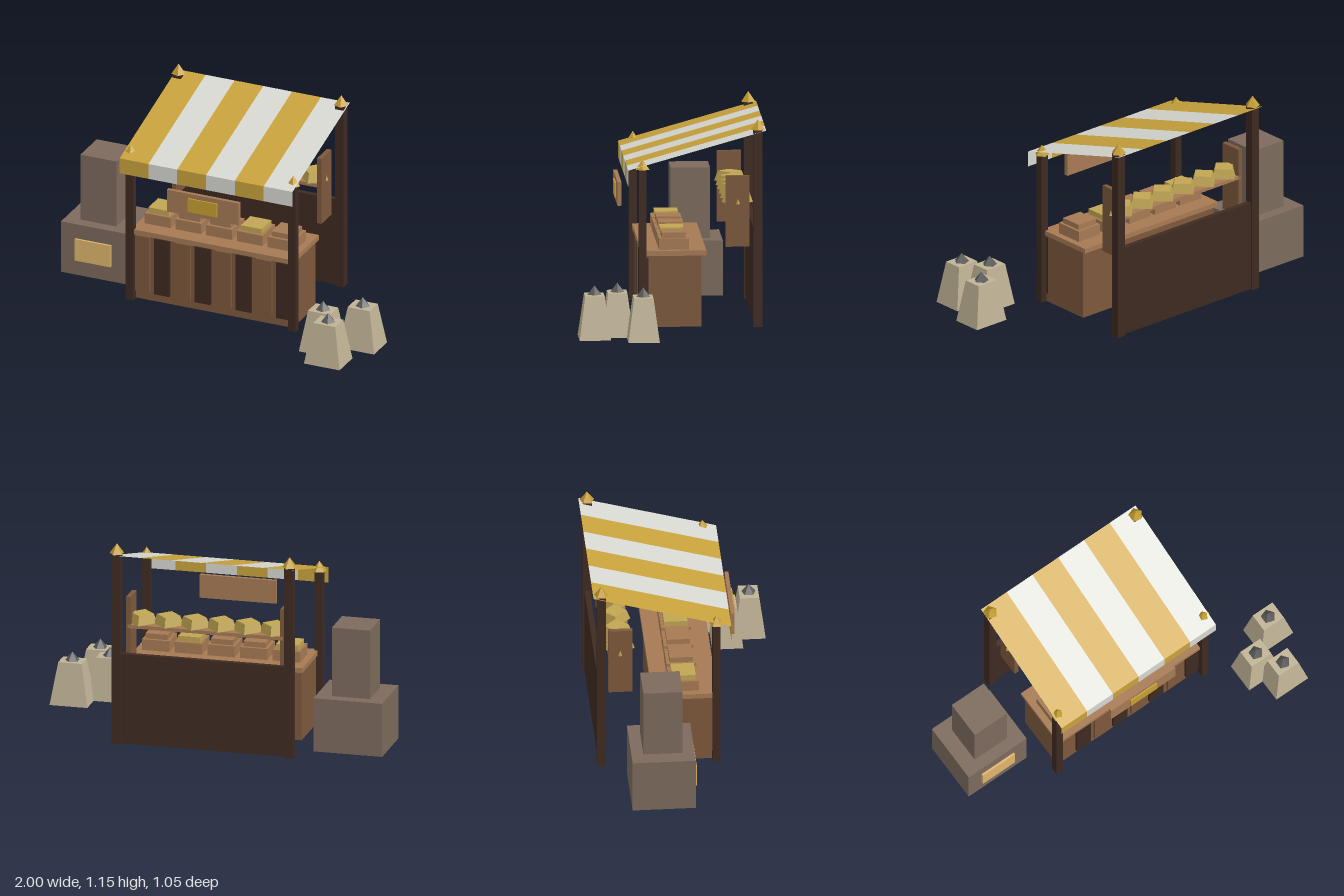
import * as THREE from 'three';

const CX = -0.022; // centre line of the stall
const mats = {};
const mat = (color) => (mats[color] ??= new THREE.MeshStandardMaterial({ color, flatShading: true, side: THREE.DoubleSide }));

const DARK = 0x3e2a21, WOOD = 0x7d583c, LIGHT = 0xa67a53, GOLD = 0xc59d30, STONE = 0x7c6a5c,
  CLOTH = 0xd8d8d2, STRIPE = 0xc8a23c, SACK = 0xbfb295, COAL = 0x5c5a5a, BREAD = 0xc0a552, GLOW = 0xdfb66c;

export function createModel() {
  const root = new THREE.Group();

  const add = (name, geometry, color, x = 0, y = 0, z = 0) => {
    const mesh = new THREE.Mesh(geometry, mat(color));
    mesh.name = name;
    mesh.position.set(x, y, z);
    root.add(mesh);
    return mesh;
  };
  // box from centre x, width and its y and z ranges
  const box = (name, color, x, w, y0, y1, z0, z1) =>
    add(name, new THREE.BoxGeometry(w, y1 - y0, z1 - z0), color, x, (y0 + y1) / 2, (z0 + z1) / 2);
  // five-sided point with a corner towards +x
  const spike = (name, color, x, y, z, r, h) => {
    const g = new THREE.ConeGeometry(r, h, 5).rotateY(Math.PI / 2);
    return add(name, g, color, x, y + h / 2, z);
  };

  // posts with finials
  for (const side of [-1, 1]) {
    const x = CX + side * 0.489;
    box('frontPost', DARK, x, 0.045, 0, 0.875, 0.131, 0.174);
    spike('frontFinial', GOLD, x, 0.876, 0.153, 0.041, 0.057);
    box('backPost', DARK, x, 0.05, 0, 1.092, -0.505, -0.455);
    spike('backFinial', GOLD, x, 1.092, -0.48, 0.041, 0.057);
  }

  // striped canopy: each stripe slopes forward and folds down as a valance
  const stripeW = 1.04 / 6;
  const section = [[1.09, -0.525], [0.875, 0.232], [0.785, 0.232]];
  for (let i = 0; i < 6; i++) {
    const x0 = CX - 0.52 + i * stripeW;
    const g = new THREE.PlaneGeometry(stripeW, 1, 1, 2);
    const p = g.attributes.position;
    for (let v = 0; v < p.count; v++) {
      const [y, z] = section[Math.floor(v / 2)];
      p.setXYZ(v, x0 + (v % 2) * stripeW, y, z);
    }
    g.computeVertexNormals();
    add('canopyStripe', g, i % 2 ? CLOTH : STRIPE);
  }

  // counter with alternating front planks
  box('counterBody', WOOD, CX, 0.95, 0, 0.395, -0.172, 0.13);
  box('counterTop', LIGHT, CX, 0.97, 0.395, 0.423, -0.198, 0.158);
  for (let i = 0; i < 8; i++)
    box('counterPlank', i % 2 ? DARK : WOOD, CX + (i - 3.5) * 0.1225, 0.094, 0.048, 0.383, 0.12, 0.145);

  // crates of goods on the counter
  for (let i = 0; i < 5; i++) {
    const x = CX + (i - 2) * 0.185;
    box('crate', LIGHT, x, 0.155, 0.423, 0.485, -0.104, 0.06);
    box('crateGoods', i % 3 ? LIGHT : BREAD, x, 0.125, 0.485, 0.515, -0.086, 0.043);
  }

  // back wall, shelf and its end boards
  box('backWall', DARK, CX, 0.95, 0.005, 0.52, -0.495, -0.465);
  box('shelf', LIGHT, CX, 0.88, 0.652, 0.672, -0.437, -0.305);
  for (const side of [-1, 1])
    box('shelfEnd', WOOD, CX + side * 0.437, 0.026, 0.437, 0.83, -0.437, -0.305);

  // four-sided loaves on the shelf
  for (let i = 0; i < 6; i++)
    add('loaf', new THREE.CylinderGeometry(0.066, 0.086, 0.054, 4), BREAD, CX + (i - 2.5) * 0.15, 0.7, -0.373);

  // hanging sign
  box('signBoard', LIGHT, CX, 0.432, 0.632, 0.764, 0.253, 0.275);
  box('signPlate', GOLD, CX, 0.176, 0.658, 0.738, 0.27, 0.284);

  // stone oven with chimney
  box('ovenBase', STONE, -0.805, 0.39, 0, 0.305, -0.347, 0);
  box('ovenChimney', STONE, -0.805, 0.216, 0.305, 0.698, -0.281, -0.065);
  box('ovenMouth', GLOW, -0.805, 0.216, 0.09, 0.22, -0.005, 0.012);

  // tapered sacks with dark tips
  for (const [x, z] of [[0.893, 0.172], [0.715, 0.305], [0.805, 0.435]]) {
    const g = new THREE.CylinderGeometry(0.62 * Math.SQRT1_2, Math.SQRT1_2, 0.24, 4).rotateY(Math.PI / 4);
    g.scale(0.214, 1, 0.172);
    add('sack', g, SACK, x, 0.12, z);
    spike('sackTip', COAL, x, 0.24, z, 0.041, 0.05);
  }
  return root;
}
